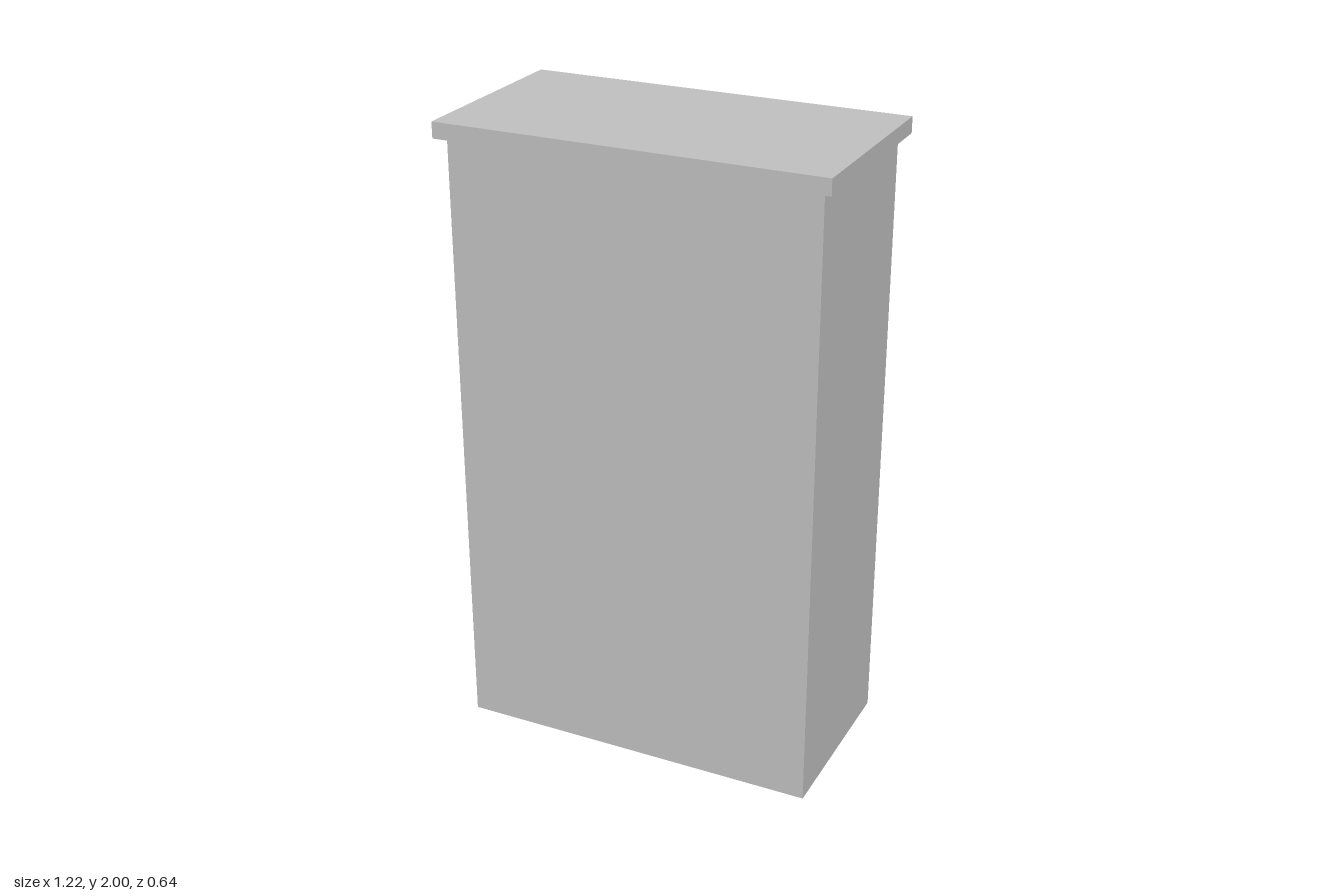
import * as THREE from 'three';

export function createModel() {
  const model = new THREE.Group();
  model.name = 'wardrobe';
  const grey = new THREE.MeshStandardMaterial({ color: 0xc0c0c0 });
  grey.name = 'plain grey';

  // Box given by its lower and upper corners
  function box(name, [x0, y0, z0], [x1, y1, z1]) {
    const mesh = new THREE.Mesh(new THREE.BoxGeometry(x1 - x0, y1 - y0, z1 - z0), grey);
    mesh.position.set((x0 + x1) / 2, (y0 + y1) / 2, (z0 + z1) / 2);
    mesh.name = name;
    model.add(mesh);
    return mesh;
  }

  // Carcass and overhanging top board
  box('cabinetBody', [-0.58, 0, -0.29], [0.58, 1.95, 0.29]);
  box('topBoard', [-0.61, 1.95, -0.32], [0.61, 2, 0.32]);

  // Pair of doors with upright handles on the -z side
  for (const [side, s] of [['left', 1], ['right', -1]]) {
    const door = box(side + 'Door', [0.02, 0.06, -0.305], [0.55, 1.885, -0.29]);
    const handle = box(side + 'Handle', [0.065, 0.93, -0.32], [0.09, 1.07, -0.305]);
    door.position.x *= s;
    handle.position.x *= s;
  }
  return model;
}
